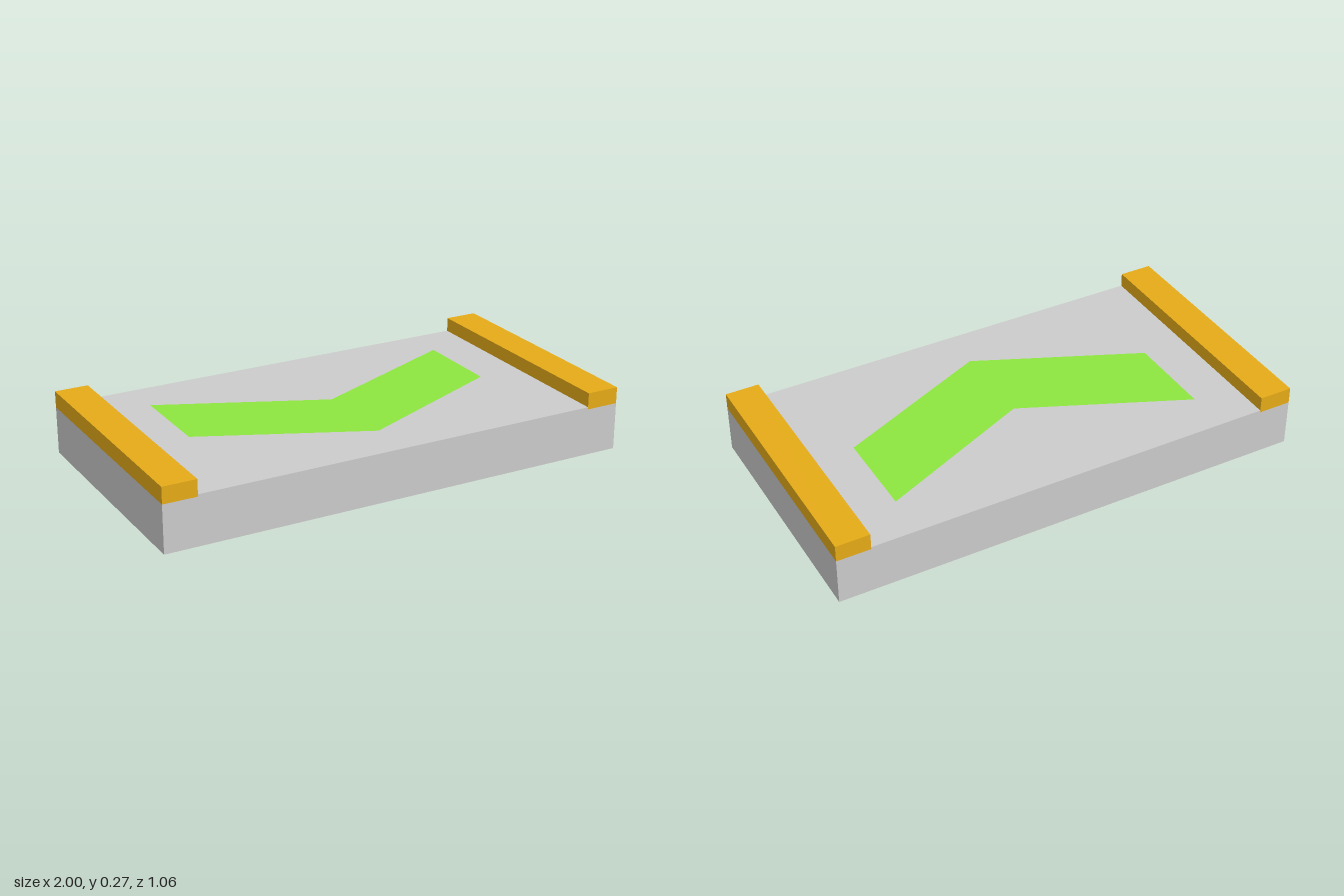
import * as THREE from 'three';

const WIDTH = 2, DEPTH = 1.056;
const RAIL_W = 0.14, RAIL_BOTTOM = 0.198, RAIL_TOP = 0.267, DECK_TOP = 0.207;

const material = (color) => new THREE.MeshStandardMaterial({ color });

function addPart(group, name, geometry, mat) {
  const mesh = new THREE.Mesh(geometry, mat);
  mesh.name = name;
  group.add(mesh);
  return mesh;
}

const outline = (points) => new THREE.Shape(points.map(([x, y]) => new THREE.Vector2(x, y)));

export function createModel() {
  const group = new THREE.Group();
  group.name = 'boostPad';
  const grey = material(0xcccccc);
  const gold = material(0xe5ab17);
  const green = material(0x8de63f);

  // Base slab, rebated along both sides to seat the rails
  const hw = WIDTH / 2, inner = hw - RAIL_W;
  const slab = new THREE.ExtrudeGeometry(outline([
    [-hw, 0], [hw, 0], [hw, RAIL_BOTTOM], [inner, RAIL_BOTTOM],
    [inner, DECK_TOP], [-inner, DECK_TOP], [-inner, RAIL_BOTTOM], [-hw, RAIL_BOTTOM],
  ]), { depth: DEPTH, bevelEnabled: false });
  slab.translate(0, 0, -DEPTH / 2);
  addPart(group, 'baseSlab', slab, grey);

  // Side rails
  const railH = RAIL_TOP - RAIL_BOTTOM;
  for (const [side, name] of [[1, 'leftRail'], [-1, 'rightRail']]) {
    const rail = addPart(group, name, new THREE.BoxGeometry(RAIL_W, railH, DEPTH), gold);
    rail.position.set(side * (hw - RAIL_W / 2), RAIL_BOTTOM + railH / 2, 0);
  }

  // Flat chevron marking on the deck, pointing to the front
  const chevron = new THREE.ShapeGeometry(outline([
    [-0.67, 0.34], [-0.67, -0.035], [0, -0.335], [0.67, -0.035], [0.67, 0.34], [0, 0.042],
  ]));
  chevron.rotateX(-Math.PI / 2);
  addPart(group, 'chevronMarking', chevron, green).position.y = DECK_TOP + 0.002;

  return group;
}
